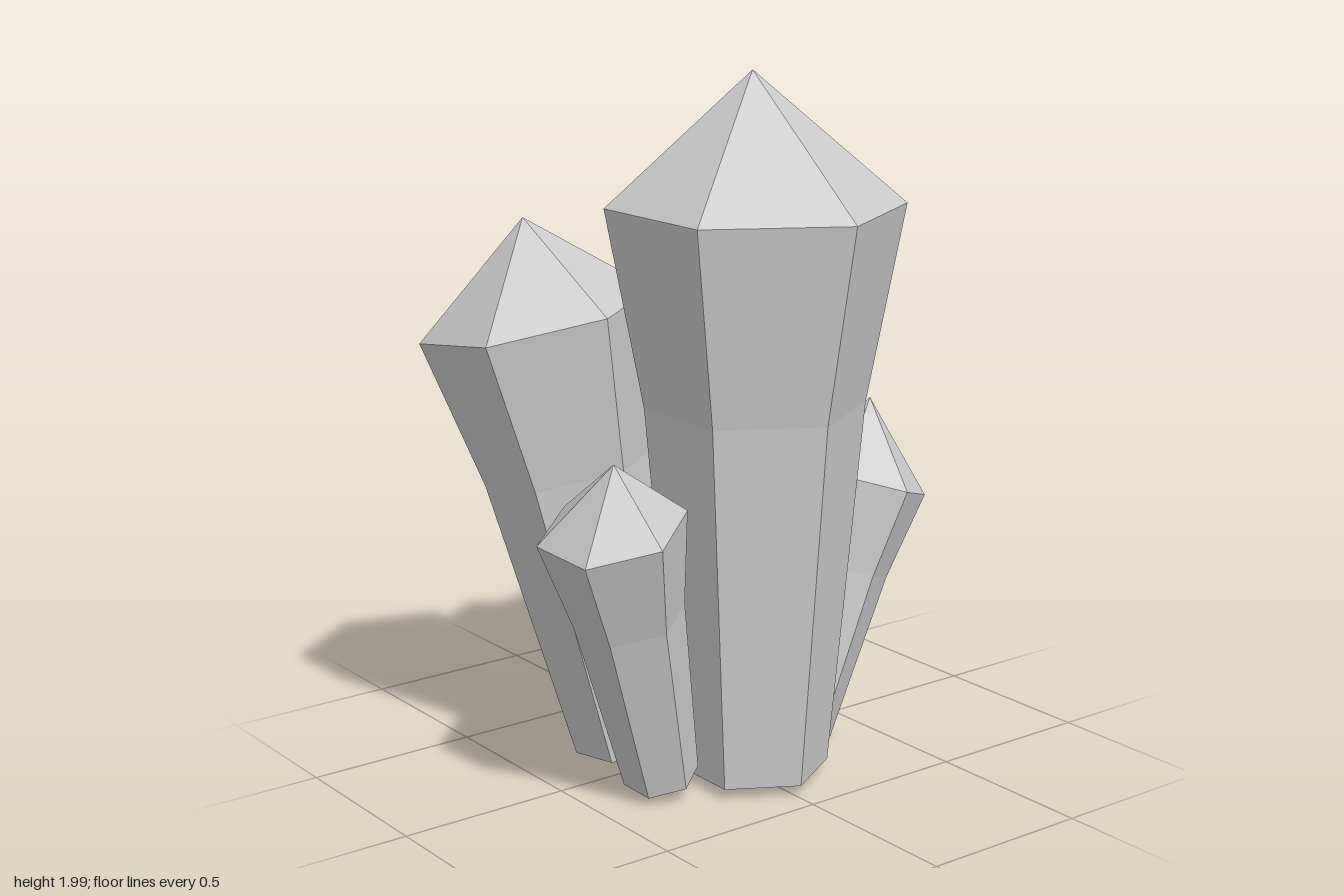
import * as THREE from 'three';

// base and shoulder are the centres of the lowest and widest rings,
// radius is that of the shoulder, yaw turns the six corners (0 = corner to the front)
const CRYSTALS = [
  { name: 'mainCrystal', base: [0.007, 0.04, 0.225], shoulder: [0.007, 1.64, 0.228], tip: [0.015, 2, 0.197], radius: 0.412, yaw: 0 },
  { name: 'backRightCrystal', base: [-0.19, 0.065, -0.08], shoulder: [-0.392, 1.31, -0.247], tip: [-0.432, 1.59, -0.247], radius: 0.332, yaw: 0.05 },
  { name: 'backLeftCrystal', base: [0.19, 0.05, -0.05], shoulder: [0.308, 1.17, -0.335], tip: [0.33, 1.395, -0.36], radius: 0.308, yaw: -0.1 },
  { name: 'leftCrystal', base: [0.275, 0.037, 0.1], shoulder: [0.526, 0.757, 0.085], tip: [0.582, 0.99, 0.048], radius: 0.195, yaw: 0 },
  { name: 'rightCrystal', base: [-0.285, 0.06, 0.18], shoulder: [-0.494, 0.835, 0.253], tip: [-0.523, 1.025, 0.303], radius: 0.205, yaw: 0.05 },
  { name: 'smallBackCrystal', base: [0.01, 0.08, -0.15], shoulder: [-0.055, 0.535, -0.375], tip: [-0.06, 0.64, -0.425], radius: 0.125, yaw: 0.05 },
];

// Six-sided shaft that widens upwards, with a pointed cap
function crystalGeometry({ base, shoulder, tip, radius, yaw }) {
  const start = new THREE.Vector3(...base);
  const axis = new THREE.Vector3(...shoulder).sub(start);
  const height = axis.length();
  const profile = [
    [0, 0],
    [radius * 0.52, 0],
    [radius * 0.745, height * 0.656],
    [radius, height],
    [0, height * 1.2],
  ].map(([r, y]) => new THREE.Vector2(r, y));
  const geometry = new THREE.LatheGeometry(profile, 6, yaw);

  // Lean the crystal along its axis, keeping its corners facing the front
  const up = axis.normalize();
  const right = new THREE.Vector3().crossVectors(up, new THREE.Vector3(0, 0, 1)).normalize();
  const front = new THREE.Vector3().crossVectors(right, up);
  geometry.applyMatrix4(new THREE.Matrix4().makeBasis(right, up, front).setPosition(start));

  // Shift the point slightly off the axis
  const position = geometry.attributes.position;
  for (let i = profile.length - 1; i < position.count; i += profile.length) {
    position.setXYZ(i, ...tip);
  }

  const faceted = geometry.toNonIndexed();
  faceted.computeVertexNormals();
  return faceted;
}

export function createModel() {
  const group = new THREE.Group();
  group.name = 'crystalCluster';
  const material = new THREE.MeshStandardMaterial({ color: 0xcccccc, flatShading: true });
  for (const crystal of CRYSTALS) {
    const mesh = new THREE.Mesh(crystalGeometry(crystal), material);
    mesh.name = crystal.name;
    group.add(mesh);
  }
  return group;
}
